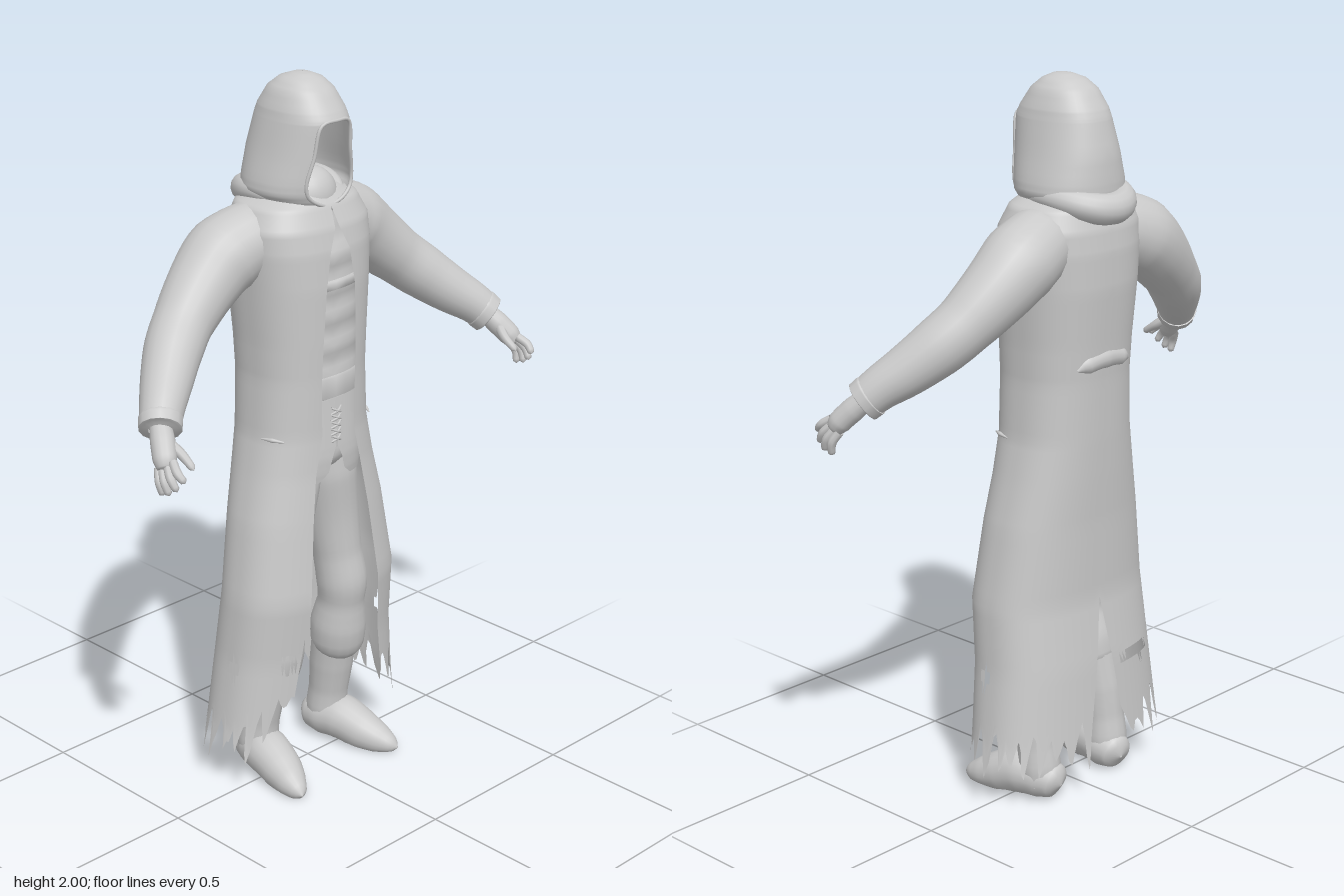
import * as THREE from 'three';
import { mergeVertices } from 'three/addons/utils/BufferGeometryUtils.js';

const cloth = new THREE.MeshStandardMaterial({ color: 0xcacaca, side: THREE.DoubleSide });
cloth.name = 'light grey';

let seed = 7;
const rand = () => (seed = (seed * 16807) % 2147483647) / 2147483647;
const V = (p) => new THREE.Vector3(...p);

function smooth(geo) {
  geo.deleteAttribute('uv');
  geo.deleteAttribute('normal');
  const g = mergeVertices(geo);
  g.computeVertexNormals();
  return g;
}

// Six values of a section table at height y; missing gap and slit count as 0
function sample(sections, y) {
  let k = 0;
  while (k < sections.length - 2 && y < sections[k + 1][0]) k++;
  const a = sections[k], b = sections[k + 1];
  const t = THREE.MathUtils.clamp((a[0] - y) / (a[0] - b[0]), 0, 1);
  return [0, 1, 2, 3, 4, 5].map((i) => THREE.MathUtils.lerp(a[i] ?? 0, b[i] ?? 0, t));
}

// Cloth shell from sections [y, halfWidth, zFront, zBack, frontGap, backSlit].
// hem(side, t, column) moves the lowest edge; holes are [side, y, z, size].
function shell(sections, { cols = 18, sub = 3, p = 0.82, hem, hemTop = 0.32, holes = [] } = {}) {
  const ys = [];
  for (let k = 0; k < sections.length - 1; k++)
    for (let s = 0; s < sub; s++) ys.push(THREE.MathUtils.lerp(sections[k][0], sections[k + 1][0], s / sub));
  const low = sections[sections.length - 1][0];
  ys.push(low);
  const pos = [], index = [];
  for (const side of [1, -1]) {
    const base = pos.length / 3;
    const edge = Array.from({ length: cols + 1 }, (_, j) => (hem ? hem(side, j / cols, j) : low));
    for (const y0 of ys) for (let j = 0; j <= cols; j++) {
      const y = hem && y0 < hemTop ? hemTop - (hemTop - y0) * (hemTop - edge[j]) / (hemTop - low) : y0;
      const [, hw, zf, zb, gap, slit] = sample(sections, y);
      const a0 = Math.asin((gap / hw) ** (1 / p)), a1 = Math.PI - Math.asin((slit / hw) ** (1 / p));
      const a = THREE.MathUtils.lerp(a0, a1, j / cols), c = Math.cos(a);
      const x = hw * Math.max(0, Math.sin(a)) ** p;
      pos.push(side * (x < 1e-4 ? 0 : x), y, (zf + zb) / 2 + (zf - zb) / 2 * Math.sign(c) * Math.abs(c) ** p);
    }
    const tri = (a, b, c) => {
      const mid = (k) => (pos[a * 3 + k] + pos[b * 3 + k] + pos[c * 3 + k]) / 3;
      if (holes.some(([s, y, z, r]) => s === side && Math.abs(mid(1) - y) / (r * 1.8) + Math.abs(mid(2) - z) / r < 1)) return;
      side > 0 ? index.push(a, b, c) : index.push(a, c, b);
    };
    for (let i = 0; i < ys.length - 1; i++) for (let j = 0; j < cols; j++) {
      const a = base + i * (cols + 1) + j, b = a + cols + 1;
      tri(a, b, a + 1);
      tri(a + 1, b, b + 1);
    }
  }
  const g = new THREE.BufferGeometry();
  g.setAttribute('position', new THREE.Float32BufferAttribute(pos, 3));
  g.setIndex(index);
  return smooth(g);
}

// Tube of varying radius through points [x, y, z, radius]
function limb(points, { seg = 24, sides = 14, closed = false } = {}) {
  const curve = new THREE.CatmullRomCurve3(points.map((q) => V(q.slice(0, 3))), closed);
  const g = new THREE.TubeGeometry(curve, seg, 1, sides, closed);
  const P = g.attributes.position, N = g.attributes.normal;
  const n = closed ? points.length : points.length - 1;
  for (let i = 0; i < P.count; i++) {
    const u = Math.floor(i / (sides + 1)) / seg;
    const t = curve.getUtoTmapping(u) * n, k = Math.min(Math.floor(t), n - 1);
    const r = THREE.MathUtils.lerp(points[k][3], points[(k + 1) % points.length][3], t - k) - 1;
    P.setXYZ(i, P.getX(i) + N.getX(i) * r, Math.max(0, P.getY(i) + N.getY(i) * r), P.getZ(i) + N.getZ(i) * r);
  }
  return smooth(g);
}

export function createModel() {
  const model = new THREE.Group();
  model.name = 'hoodedFigure';
  const add = (name, geo) => {
    const m = new THREE.Mesh(geo, cloth);
    m.name = name;
    model.add(m);
    return m;
  };
  const mirror = (points) => points.map(([x, ...rest]) => [-x, ...rest]);
  const pair = (name, points, opt) => {
    add(name + 'Left', limb(points, opt));
    add(name + 'Right', limb(mirror(points), opt));
  };

  // Long open coat with a back slit and a ragged hem of broad teeth
  const tatter = (side, t, j) => {
    const front = 0.1 * (1 - THREE.MathUtils.smoothstep(t, 0.05, 0.2));
    const tooth = [0, 0.04, 0.09, 0.07, 0.03][(j + (side > 0 ? 0 : 2)) % 5];
    return Math.min(0.3, 0.13 + front + tooth + 0.03 * Math.sin(j * 0.9 + side) + 0.025 * (rand() - 0.5));
  };
  add('coat', shell([
    [1.715, 0.05, 0.02, -0.11], [1.695, 0.11, 0.06, -0.15], [1.665, 0.17, 0.085, -0.175],
    [1.61, 0.198, 0.11, -0.193, 0.008], [1.55, 0.198, 0.122, -0.2, 0.035], [1.45, 0.19, 0.127, -0.2, 0.052],
    [1.3, 0.18, 0.125, -0.187, 0.06], [1.2, 0.177, 0.122, -0.18, 0.062], [1.04, 0.187, 0.12, -0.175, 0.06],
    [0.93, 0.21, 0.125, -0.17, 0.085], [0.8, 0.24, 0.138, -0.163, 0.105], [0.58, 0.275, 0.158, -0.158, 0.13],
    [0.4, 0.285, 0.142, -0.18, 0.152, 0.03], [0.2, 0.31, 0.135, -0.193, 0.185, 0.065], [0.08, 0.335, 0.13, -0.2, 0.2, 0.08],
  ], {
    cols: 60, sub: 6, hem: tatter,
    holes: [[-1, 0.38, 0.0, 0.022], [-1, 0.38, -0.165, 0.016], [-1, 0.4, 0.115, 0.014], [1, 0.38, 0.0, 0.022]],
  }));
  add('backFold', limb([[-0.1, 1.24, -0.165, 0.004], [-0.07, 1.25, -0.163, 0.026], [0, 1.26, -0.163, 0.032],
    [0.07, 1.25, -0.163, 0.026], [0.1, 1.24, -0.165, 0.004]]));
  pair('pocketEdge', [[0.16, 1.04, 0.075, 0.002], [0.176, 1.042, 0.045, 0.006], [0.184, 1.04, 0.01, 0.002]]);

  // Sloping sleeves and turned cuffs
  pair('sleeve', [[0.06, 1.6, -0.05, 0.07], [0.14, 1.575, -0.065, 0.1], [0.23, 1.54, -0.08, 0.106],
    [0.3, 1.488, -0.076, 0.096], [0.4, 1.405, -0.05, 0.08], [0.46, 1.355, -0.02, 0.077], [0.53, 1.295, 0.03, 0.067],
    [0.58, 1.255, 0.07, 0.058], [0.61, 1.225, 0.095, 0.053]], { seg: 36, sides: 20 });
  pair('cuff', [[0.595, 1.24, 0.08, 0.042], [0.6, 1.235, 0.086, 0.058], [0.615, 1.217, 0.102, 0.056], [0.618, 1.214, 0.105, 0.03]]);

  // Hands: palm, four fingers, thumb
  pair('palm', [[0.605, 1.23, 0.09, 0.028], [0.628, 1.195, 0.125, 0.032], [0.648, 1.16, 0.155, 0.031],
    [0.655, 1.14, 0.167, 0.022], [0.657, 1.136, 0.17, 0.001]]);
  [[0.648, 1.162, 0.185, 0.654, 1.125, 0.233], [0.655, 1.153, 0.172, 0.664, 1.1, 0.215],
    [0.659, 1.144, 0.158, 0.669, 1.084, 0.192], [0.66, 1.138, 0.144, 0.668, 1.077, 0.167]].forEach(([x, y, z, X, Y, Z], i) =>
    pair('finger' + (i + 1), [[x, y, z, 0.012], [(x + X) / 2 + 0.008, (y + Y) / 2, (z + Z) / 2 + 0.005, 0.012],
      [X, Y, Z, 0.009], [X - 0.001, Y - 0.003, Z + 0.002, 0.001]], { seg: 12, sides: 8 }));
  pair('thumb', [[0.622, 1.195, 0.135, 0.015], [0.608, 1.168, 0.172, 0.013], [0.607, 1.142, 0.212, 0.009],
    [0.607, 1.138, 0.217, 0.001]], { seg: 12, sides: 8 });

  // Hood with face opening, thin rim and draped cowl
  const hood = [
    [2, 0.001, -0.02, -0.022], [1.997, 0.024, 0.008, -0.05], [1.985, 0.053, 0.035, -0.085], [1.96, 0.077, 0.066, -0.118],
    [1.915, 0.096, 0.098, -0.148], [1.897, 0.1, 0.108, -0.156], [1.885, 0.103, 0.112, -0.16, 0.048],
    [1.8, 0.121, 0.108, -0.18, 0.066], [1.73, 0.139, 0.1, -0.185, 0.082], [1.7, 0.142, 0.095, -0.185, 0.076],
    [1.675, 0.125, 0.088, -0.18, 0.045], [1.655, 0.1, 0.07, -0.17],
  ];
  add('hood', shell(hood, { cols: 20, p: 0.9 }));
  const rim = hood.slice(6, 11).map(([y, hw, zf, zb, gap]) => {
    const c = Math.sqrt(1 - (gap / hw) ** (2 / 0.9)) ** 0.9;
    return [gap, y, (zf + zb) / 2 + (zf - zb) / 2 * c, 0.005];
  });
  add('hoodRim', limb([...rim, [0, 1.662, 0.078, 0.005], ...mirror(rim).reverse(), [0, 1.893, 0.106, 0.005]],
    { seg: 60, sides: 8, closed: true }));
  const cowl = [];
  for (let i = 0; i < 16; i++) {
    const a = i / 16 * Math.PI * 2, back = (1 - Math.cos(a)) / 2;
    cowl.push([0.112 * Math.sin(a), 1.66 + 0.03 * Math.sin(a) ** 2 + 0.004 * back, 0.07 - 0.265 * back, 0.014 + 0.028 * back]);
  }
  add('cowl', limb(cowl, { seg: 60, closed: true }));
  const chin = add('chin', new THREE.SphereGeometry(0.08, 24, 16));
  chin.scale.set(1, 1, 0.85);
  chin.position.set(0, 1.675, 0.005);

  // Creased shirt, waist bands and split shirt tails
  const shirt = [];
  for (let i = 0; i < 36; i++) {
    const y = 1.66 - i * 0.02, chest = THREE.MathUtils.smoothstep(1.66 - y, 0, 0.15);
    shirt.push([y, 0.06 + 0.085 * chest, 0.06 + 0.038 * chest + 0.004 * Math.sin(y * 75), -0.1]);
  }
  shirt.push([0.925, 0.1, 0.075, -0.08], [0.9, 0.05, 0.04, -0.06], [0.89, 0.01, 0, -0.02]);
  add('shirt', shell(shirt, { sub: 1 }));
  const band = (name, y, h) => add(name, shell([[y + h, 0.143, 0.095, -0.1], [y + h * 0.8, 0.149, 0.108, -0.105],
    [y - h * 0.8, 0.149, 0.108, -0.105], [y - h, 0.143, 0.095, -0.1]], { sub: 1 }));
  band('chestBand', 1.45, 0.014);
  band('belt', 1.165, 0.035);
  add('shirtTails', shell([[1.13, 0.148, 0.1, -0.1], [1.0, 0.152, 0.112, -0.105, 0.002], [0.965, 0.152, 0.114, -0.105, 0.018],
    [0.925, 0.15, 0.112, -0.105, 0.03], [0.9, 0.15, 0.108, -0.105, 0.06]]));

  // Crossed lacing below the belt
  for (let i = 0; i < 5; i++) for (const s of [-1, 1]) {
    const y = 1.01 + i * 0.02;
    add('lace', limb([[-0.018 * s, y, 0.108, 0.003], [0, y + 0.009, 0.115, 0.004], [0.018 * s, y + 0.018, 0.108, 0.003]],
      { seg: 6, sides: 6 }));
  }

  // Trousers bloused over boots
  pair('trouserLeg', [[0.055, 0.99, 0, 0.075], [0.07, 0.88, 0, 0.085], [0.09, 0.75, 0, 0.078], [0.105, 0.62, 0.01, 0.07],
    [0.114, 0.53, 0.02, 0.073], [0.117, 0.47, 0.015, 0.066], [0.122, 0.39, 0, 0.08], [0.127, 0.33, -0.01, 0.078],
    [0.13, 0.3, -0.02, 0.06], [0.13, 0.295, -0.02, 0.02]], { seg: 40, sides: 18 });
  pair('bootShaft', [[0.13, 0.34, -0.025, 0.063], [0.136, 0.24, -0.042, 0.063], [0.138, 0.15, -0.055, 0.057],
    [0.138, 0.09, -0.062, 0.06], [0.138, 0.04, -0.065, 0.055]]);
  pair('bootFoot', [[0.125, 0.045, -0.132, 0.004], [0.127, 0.05, -0.12, 0.045], [0.134, 0.058, -0.07, 0.062],
    [0.148, 0.062, -0.01, 0.066], [0.163, 0.04, 0.065, 0.058], [0.178, 0.025, 0.12, 0.043], [0.188, 0.017, 0.16, 0.022],
    [0.192, 0.014, 0.174, 0.002]], { seg: 32, sides: 18 });
  return model;
}
